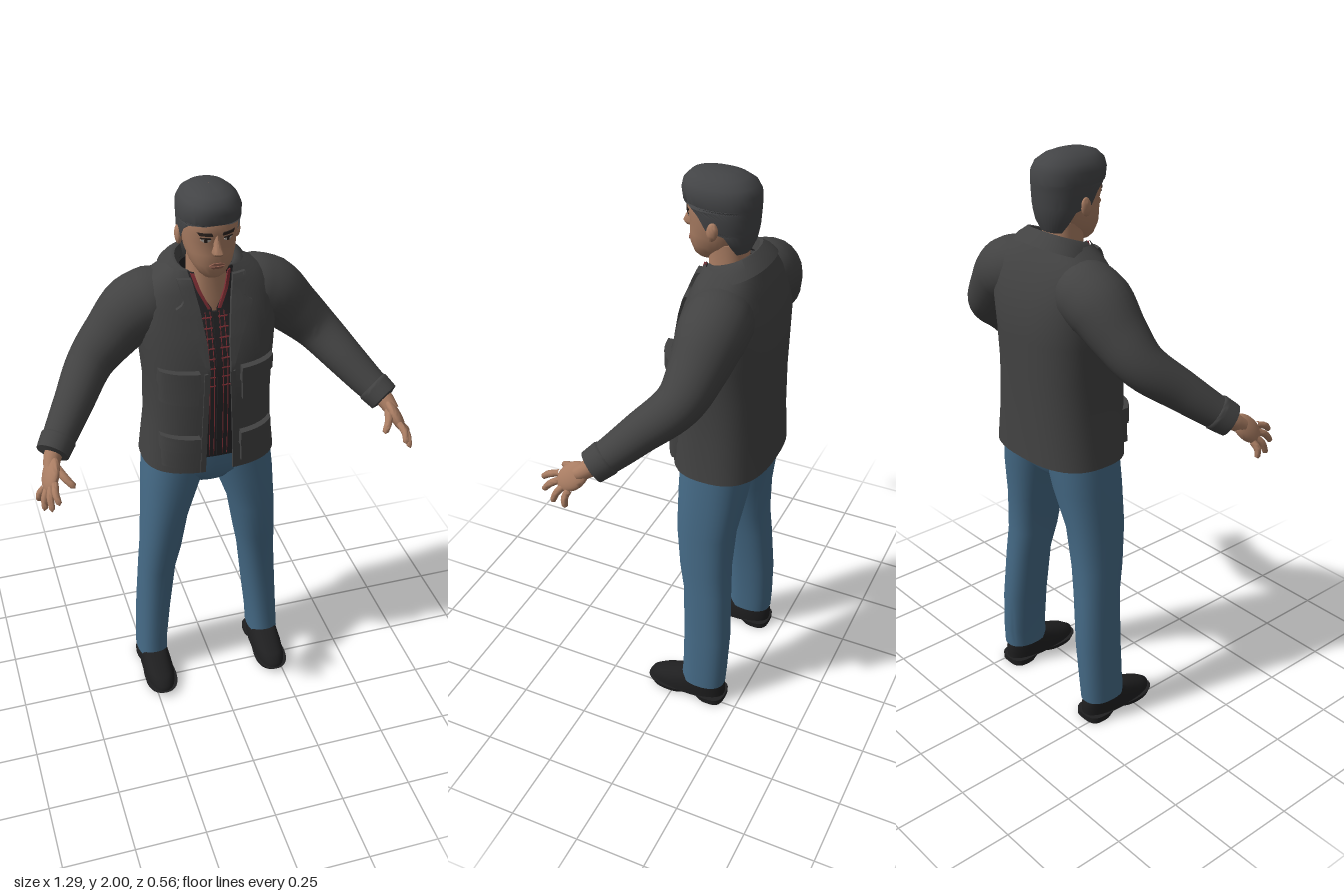
import * as THREE from 'three';
import { mergeVertices, toCreasedNormals } from 'three/addons/utils/BufferGeometryUtils.js';

const mat = (name, color, side = THREE.FrontSide) => {
  const m = new THREE.MeshStandardMaterial({ color, side });
  m.name = name;
  return m;
};

// Linear interpolation of a table whose first column is y
function at(rows, y) {
  let i = 0;
  while (i < rows.length - 2 && y > rows[i + 1][0]) i++;
  const a = rows[i], b = rows[i + 1];
  const k = THREE.MathUtils.clamp((y - a[0]) / (b[0] - a[0]), 0, 1);
  return a.map((v, n) => v + (b[n] - v) * k);
}

const pow = (v, e) => Math.sign(v) * Math.abs(v) ** e;

// Stack of rounded sections, bottom to top: [y, halfWidth, zFront, zBack, frontGapAngle, centreX]
function loft(rows, { p = 2.3, cap = false, tilt = 0, n = 36 } = {}) {
  const list = [...rows];
  if (cap) {
    const tip = r => { const z = (r[2] + r[3]) / 2; return [r[0], 0, z, z, 0, r[5] || 0]; };
    list.unshift(tip(rows[0]));
    list.push(tip(rows[rows.length - 1]));
  }
  const pos = [], idx = [];
  list.forEach(([y, hw, zf, zb, gap = 0, cx = 0], r) => {
    const cz = (zf + zb) / 2, rz = (zf - zb) / 2;
    for (let j = 0; j <= n; j++) {
      const t = gap + (2 * Math.PI - 2 * gap) * j / n;
      const dz = rz * pow(Math.cos(t), 2 / p);
      pos.push(cx + hw * pow(Math.sin(t), 2 / p), y - tilt * dz, cz + dz);
      if (r && j < n) {
        const c = r * (n + 1) + j, a = c - n - 1;
        idx.push(a, a + 1, c, a + 1, c + 1, c);
      }
    }
  });
  const g = new THREE.BufferGeometry();
  g.setAttribute('position', new THREE.Float32BufferAttribute(pos, 3));
  g.setIndex(idx);
  return g;
}

// Tapered round limb through points [x, y, z, radius]
function limb(pts, seg = 20, sides = 18) {
  const curve = new THREE.CatmullRomCurve3(pts.map(p => new THREE.Vector3(p[0], p[1], p[2])));
  const g = new THREE.TubeGeometry(curve, seg, 1, sides);
  const a = g.attributes.position, v = new THREE.Vector3();
  for (let i = 0; i < a.count; i++) {
    const u = Math.floor(i / (sides + 1)) / seg, c = curve.getPointAt(u);
    const f = curve.getUtoTmapping(u) * (pts.length - 1);
    const k = Math.min(Math.floor(f), pts.length - 2);
    const r = pts[k][3] + (pts[k + 1][3] - pts[k][3]) * (f - k);
    v.fromBufferAttribute(a, i).sub(c).multiplyScalar(r).add(c);
    a.setXYZ(i, v.x, v.y, v.z);
  }
  return g;
}

// Thin plate lying on the front of a lofted surface; shape rows: [y, x0, x1]
function plate(surface, p, shape, thick, segX = 6, segY = 8) {
  const g = new THREE.BoxGeometry(1, 1, 1, segX, segY, 1);
  const a = g.attributes.position, y0 = shape[0][0], y1 = shape[shape.length - 1][0];
  for (let i = 0; i < a.count; i++) {
    const y = y0 + (y1 - y0) * (a.getY(i) + 0.5);
    const [, x0, x1] = at(shape, y), x = x0 + (x1 - x0) * (a.getX(i) + 0.5);
    const [, hw, zf, zb] = at(surface, y), q = Math.min(Math.abs(x) / hw, 0.995);
    const z = (zf + zb) / 2 + (zf - zb) / 2 * (1 - q ** p) ** (1 / p);
    a.setXYZ(i, x, y, z + (a.getZ(i) > 0 ? thick : -0.004));
  }
  return g;
}

function finish(g, angle = 0.95) {
  g.deleteAttribute('uv');
  g.deleteAttribute('normal');
  return toCreasedNormals(mergeVertices(g, 1e-5), angle);
}

function mirror(g) {
  const m = g.clone().scale(-1, 1, 1), ix = m.index.array;
  for (let i = 0; i < ix.length; i += 3) [ix[i], ix[i + 1]] = [ix[i + 1], ix[i]];
  return m;
}

export function createModel() {
  const root = new THREE.Group();
  root.name = 'standingMan';
  const jacketMat = mat('charcoal jacket', 0x424242, THREE.DoubleSide);
  const hairMat = mat('dark hair', 0x434446, THREE.DoubleSide);
  const skin = mat('skin', 0xa87c62);
  const denim = mat('blue denim', 0x456a86);
  const leather = mat('black leather', 0x1f1f20);
  const shirtMat = mat('black shirt', 0x242325, THREE.DoubleSide);
  const red = mat('red stripe', 0x7a2c32);
  const white = mat('eye white', 0xb8b0a8);
  const dark = mat('dark brown', 0x2a211d);
  const lip = mat('lips', 0x8c5c4c);

  const add = (name, g, m) => {
    const mesh = new THREE.Mesh(finish(g), m);
    mesh.name = name;
    root.add(mesh);
  };
  const pair = (name, g, m) => {
    const other = mirror(g);
    add(name + 'Left', g, m);
    add(name + 'Right', other, m);
  };

  // Trousers
  add('hips', loft([[0.9, 0.09, -0.03, -0.17], [0.95, 0.19, 0.005, -0.222], [1.0, 0.222, 0.015, -0.235],
    [1.1, 0.2, 0.02, -0.23]], { cap: true }), denim);
  pair('trouserLeg', loft([
    [0.08, 0.058, -0.03, -0.195, 0, 0.225], [0.15, 0.058, -0.035, -0.2, 0, 0.222],
    [0.3, 0.062, -0.035, -0.205, 0, 0.21], [0.5, 0.067, -0.027, -0.197, 0, 0.192],
    [0.6, 0.074, -0.008, -0.192, 0, 0.179], [0.75, 0.083, 0.008, -0.2, 0, 0.163],
    [0.9, 0.105, 0.012, -0.225, 0, 0.133], [1.0, 0.113, 0.012, -0.235, 0, 0.115]], { cap: true }), denim);

  // Shoes
  pair('shoe', loft([
    [0.018, 0.056, 0.102, -0.194, 0, 0.222], [0.04, 0.056, 0.1, -0.196, 0, 0.222],
    [0.06, 0.054, 0.07, -0.196, 0, 0.223], [0.085, 0.05, 0.005, -0.192, 0, 0.224],
    [0.105, 0.046, -0.035, -0.185, 0, 0.225]], { cap: true }), leather);
  pair('sole', loft([[0.006, 0.058, 0.095, -0.07, 0, 0.222], [0.022, 0.061, 0.11, -0.09, 0, 0.222]], { cap: true }), leather);
  pair('heel', loft([[0, 0.056, -0.1, -0.198, 0, 0.222], [0.022, 0.058, -0.07, -0.2, 0, 0.222]], { cap: true, p: 3 }), leather);

  // Jacket body, open at the front
  const P = 2.6;
  const gapAngle = (x, hw) => Math.asin((x / hw) ** (P / 2));
  const jacket = [[1.0, 0.235, 0.055, -0.28, 0.05], [1.15, 0.217, 0.062, -0.276, 0.046], [1.3, 0.212, 0.066, -0.276, 0.04],
    [1.42, 0.222, 0.064, -0.278, 0.036], [1.52, 0.235, 0.036, -0.277, 0.042], [1.6, 0.235, 0.008, -0.255, 0.052],
    [1.65, 0.215, -0.012, -0.238, 0.06], [1.69, 0.175, -0.026, -0.218, 0.068], [1.72, 0.125, -0.04, -0.2, 0.075]];
  add('jacketBody', loft(jacket.map(([y, hw, f, b, x]) => [y, hw, f, b, gapAngle(x, hw)]), { p: P, n: 48 }), jacketMat);
  add('collar', loft([[1.688, 0.15, -0.02, -0.238, 0.78], [1.712, 0.135, -0.026, -0.218, 0.75],
    [1.737, 0.107, -0.04, -0.192, 0.72], [1.735, 0.096, -0.044, -0.184, 0.72], [1.69, 0.085, -0.05, -0.175, 0.75]],
  { tilt: 0.35 }), jacketMat);
  const onJacket = (name, shape, t, sy) => pair(name, plate(jacket, P, shape, t, 8, sy), jacketMat);
  onJacket('lapel', [[1.4, 0.034, 0.04], [1.5, 0.038, 0.075], [1.615, 0.052, 0.126], [1.63, 0.055, 0.098], [1.7, 0.068, 0.112]], 0.012, 28);
  onJacket('frontPlacket', [[1.005, 0.048, 0.066], [1.15, 0.044, 0.062], [1.4, 0.034, 0.052]], 0.006);
  for (const [name, y, h] of [['chestPocket', 1.29, 0.1], ['hipPocket', 1.035, 0.1]]) {
    onJacket(name, [[y, 0.075, 0.19], [y + h, 0.075, 0.19]], 0.016);
    onJacket(name + 'Flap', [[y + h - 0.03, 0.069, 0.195], [y + h + 0.025, 0.07, 0.193]], 0.025);
  }

  // Sleeves and cuffs
  pair('sleeve', limb([[0.1, 1.6, -0.13, 0.09], [0.17, 1.587, -0.138, 0.112], [0.235, 1.56, -0.138, 0.111],
    [0.31, 1.49, -0.13, 0.093], [0.39, 1.41, -0.105, 0.077], [0.47, 1.325, -0.012, 0.065],
    [0.53, 1.262, 0.06, 0.056], [0.567, 1.228, 0.105, 0.05]], 30, 24), jacketMat);
  pair('cuff', limb([[0.535, 1.258, 0.066, 0.05], [0.54, 1.253, 0.072, 0.059], [0.569, 1.224, 0.108, 0.054],
    [0.571, 1.222, 0.111, 0.03]], 12, 24), jacketMat);

  // Hands
  const d = new THREE.Vector3(0.27, -0.62, 0.73).normalize();
  const n = new THREE.Vector3().crossVectors(d, new THREE.Vector3(0.376, -0.413, -0.827)).normalize();
  const s = new THREE.Vector3().crossVectors(n, d);
  const c = new THREE.Vector3(0.588, 1.185, 0.165);
  const palm = new THREE.SphereGeometry(1, 18, 12).scale(0.062, 0.043, 0.02);
  pair('palm', palm.applyMatrix4(new THREE.Matrix4().makeBasis(d, s, n).setPosition(c)), skin);
  pair('wrist', limb([[0.552, 1.242, 0.088, 0.03], [0.571, 1.218, 0.118, 0.029], [0.584, 1.195, 0.15, 0.024]], 6, 14), skin);
  const finger = (name, a, b, r) => {
    const m = a.clone().lerp(b, 0.5).add(new THREE.Vector3(0.005, 0.006, 0.003));
    const e = b.clone().lerp(a, 0.1);
    pair(name, limb([[...a.toArray(), r], [...m.toArray(), r], [...e.toArray(), r * 0.8], [...b.toArray(), 0.0005]], 9, 10), skin);
  };
  [['indexFinger', -1, [0.584, 1.145, 0.28]], ['middleFinger', -0.33, [0.607, 1.115, 0.267]],
    ['ringFinger', 0.33, [0.626, 1.092, 0.225]], ['littleFinger', 1, [0.637, 1.095, 0.172]]].forEach(([name, k, tip]) =>
    finger(name, c.clone().addScaledVector(d, 0.036).addScaledVector(s, k * 0.031), new THREE.Vector3(...tip), 0.0115));
  finger('thumb', new THREE.Vector3(0.566, 1.2, 0.155), new THREE.Vector3(0.524, 1.168, 0.236), 0.0135);

  // Shirt with an open neck and red checks
  const shirt = [[1.05, 0.2, 0.04, -0.255], [1.15, 0.2, 0.048, -0.255], [1.3, 0.198, 0.052, -0.255], [1.42, 0.2, 0.05, -0.255],
    [1.52, 0.2, 0.022, -0.25], [1.6, 0.16, -0.004, -0.23, 0.02], [1.66, 0.105, -0.02, -0.2, 0.35], [1.715, 0.083, -0.032, -0.178, 0.62]];
  add('shirt', loft(shirt, { p: P }), shirtMat);
  const onShirt = (name, shape, t) => plate(shirt, P, shape, t, 4, 10);
  for (const x of [0.014, 0.03]) pair('checkLine', onShirt('', [[1.06, x, x + 0.002], [1.59, x, x + 0.002]], 0.003), red);
  for (let i = 0; i < 8; i++) {
    const y = 1.34 + i * 0.033;
    pair('checkBand', onShirt('', [[y, 0.01, 0.042], [y + 0.003, 0.01, 0.042]], 0.003), red);
  }
  pair('shirtEdge', onShirt('', [[1.6, 0.012, 0.022], [1.66, 0.04, 0.052], [1.71, 0.055, 0.066]], 0.006), red);
  add('shirtPlacket', onShirt('', [[1.06, -0.007, 0.007], [1.59, -0.007, 0.007]], 0.005), shirtMat);

  // Neck and head
  add('neck', loft([[1.56, 0.08, -0.025, -0.17], [1.62, 0.075, -0.025, -0.17], [1.68, 0.064, -0.035, -0.162],
    [1.78, 0.062, -0.03, -0.155]], { cap: true }), skin);
  const head = [[1.712, 0.03, 0.004, -0.06], [1.725, 0.044, 0.018, -0.08], [1.745, 0.058, 0.024, -0.105], [1.763, 0.068, 0.03, -0.125],
    [1.8, 0.08, 0.03, -0.15], [1.84, 0.086, 0.028, -0.165], [1.868, 0.088, 0.037, -0.17], [1.9, 0.089, 0.036, -0.175],
    [1.95, 0.08, 0.02, -0.16], [1.98, 0.05, -0.01, -0.12]];
  add('head', loft(head, { cap: true, p: 2.2 }), skin);
  add('nose', loft([[1.8, 0.01, 0.042, 0.01], [1.805, 0.017, 0.052, 0.01], [1.814, 0.018, 0.06, 0.01], [1.83, 0.012, 0.053, 0.01],
    [1.855, 0.009, 0.04, 0.01], [1.875, 0.007, 0.036, 0.01]], { cap: true, n: 16 }), skin);
  pair('ear', new THREE.SphereGeometry(1, 14, 10).scale(0.012, 0.031, 0.019).rotateX(-0.15).translate(0.094, 1.835, -0.078), skin);
  const onFace = (shape, t) => plate(head, 2.2, shape, t, 6, 4);
  pair('eye', onFace([[1.846, 0.03, 0.042], [1.853, 0.02, 0.051], [1.859, 0.026, 0.046]], 0.002), white);
  pair('iris', onFace([[1.846, 0.031, 0.04], [1.859, 0.031, 0.04]], 0.004), dark);
  pair('upperLid', onFace([[1.858, 0.02, 0.052], [1.862, 0.022, 0.05]], 0.004), dark);
  pair('eyebrow', onFace([[1.869, 0.015, 0.054], [1.878, 0.018, 0.06]], 0.004), dark);
  add('upperLip', onFace([[1.766, -0.026, 0.026], [1.774, -0.012, 0.012]], 0.005), lip);
  add('lowerLip', onFace([[1.756, -0.014, 0.014], [1.764, -0.024, 0.024]], 0.006), lip);

  // Hair: short sides and back with a full crown
  add('hair', loft([[1.752, 0.066, 0.0, -0.165, 2.3], [1.785, 0.084, 0.02, -0.18, 2.05], [1.82, 0.092, 0.03, -0.187, 1.85],
    [1.835, 0.094, 0.032, -0.189, 1.4], [1.875, 0.096, 0.04, -0.192, 1.2], [1.895, 0.097, 0.044, -0.193, 0.95],
    [1.903, 0.098, 0.048, -0.194, 0.4], [1.908, 0.098, 0.05, -0.194, 0], [1.94, 0.098, 0.055, -0.192],
    [1.965, 0.087, 0.05, -0.18], [1.985, 0.064, 0.03, -0.15], [1.996, 0.036, -0.005, -0.115], [2.0, 0.001, -0.06, -0.062]]), hairMat);
  return root;
}
